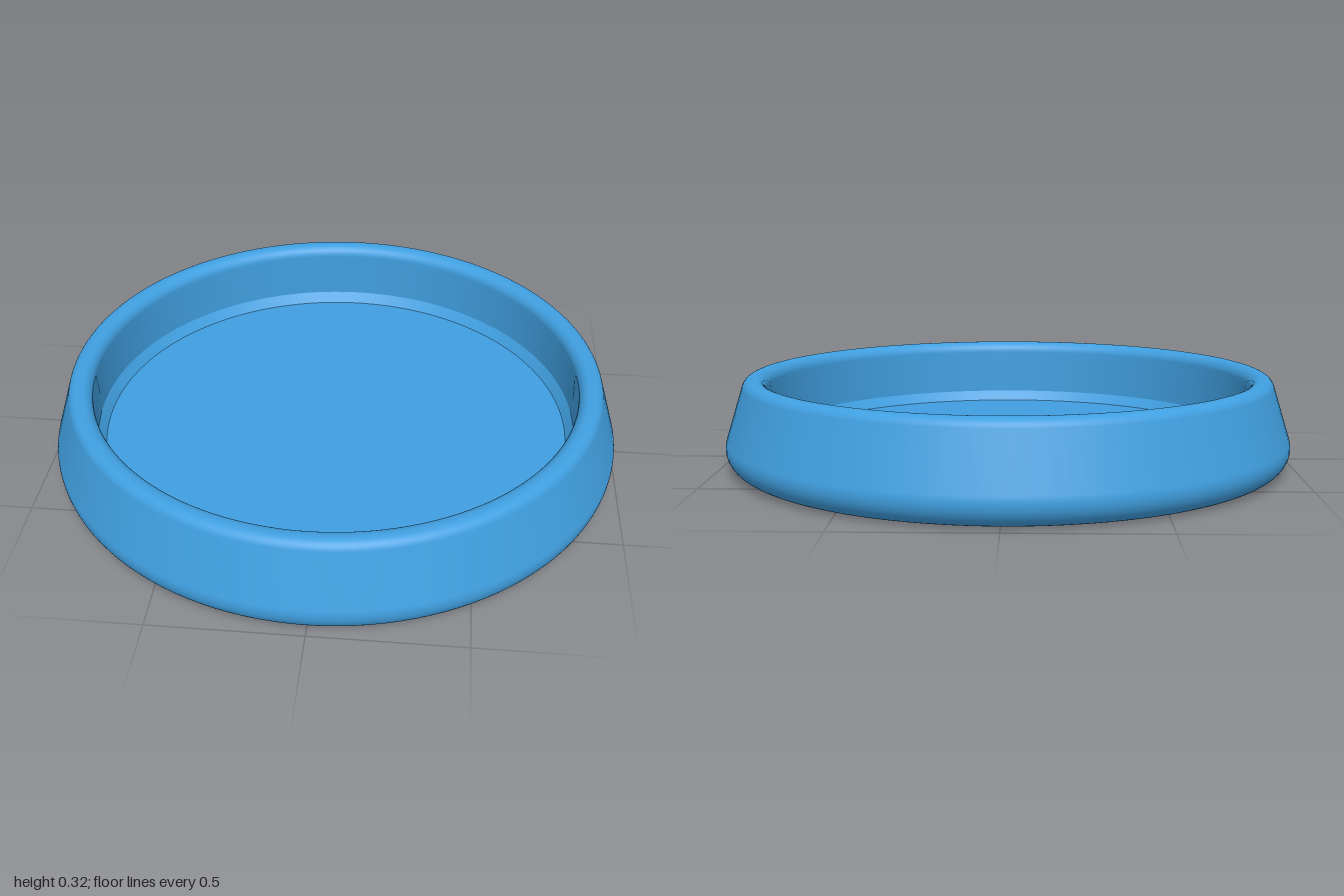
import * as THREE from 'three';

const SEGMENTS = 128;

// Points along an arc of the profile, angles in degrees
function arc(cx, cy, r, from, to, steps) {
  return Array.from({ length: steps + 1 }, (_, i) => {
    const a = THREE.MathUtils.degToRad(from + ((to - from) * i) / steps);
    return new THREE.Vector2(cx + r * Math.cos(a), cy + r * Math.sin(a));
  });
}

export function createModel() {
  const group = new THREE.Group();
  group.name = 'roundDish';
  const material = new THREE.MeshStandardMaterial({ color: 0x409fe0 });

  const addLathe = (name, points) => {
    const mesh = new THREE.Mesh(new THREE.LatheGeometry(points, SEGMENTS), material);
    mesh.name = name;
    group.add(mesh);
  };

  const wallRadius = 0.855, wallFoot = 0.11;
  const floorRadius = 0.83, floorHeight = 0.073;

  // Underside, rounded foot, tapered side, rounded rim and inner wall
  addLathe('body', [
    new THREE.Vector2(0, 0),
    new THREE.Vector2(0.85, 0),
    ...arc(0.92, 0.08, 0.08, -90, 17.4, 16),
    ...arc(0.9, 0.278, 0.04, 17.4, 90, 10),
    ...arc(0.895, 0.278, 0.04, 90, 180, 10),
    new THREE.Vector2(wallRadius, 0.25),
    new THREE.Vector2(wallRadius, wallFoot),
  ]);

  // Sloped step between the wall and the floor
  addLathe('innerChamfer', [
    new THREE.Vector2(wallRadius, wallFoot),
    new THREE.Vector2(floorRadius, floorHeight),
  ]);

  // Flat dish floor
  const floor = new THREE.Mesh(new THREE.CircleGeometry(floorRadius, SEGMENTS), material);
  floor.name = 'floor';
  floor.rotation.x = -Math.PI / 2;
  floor.position.y = floorHeight;
  group.add(floor);

  return group;
}
